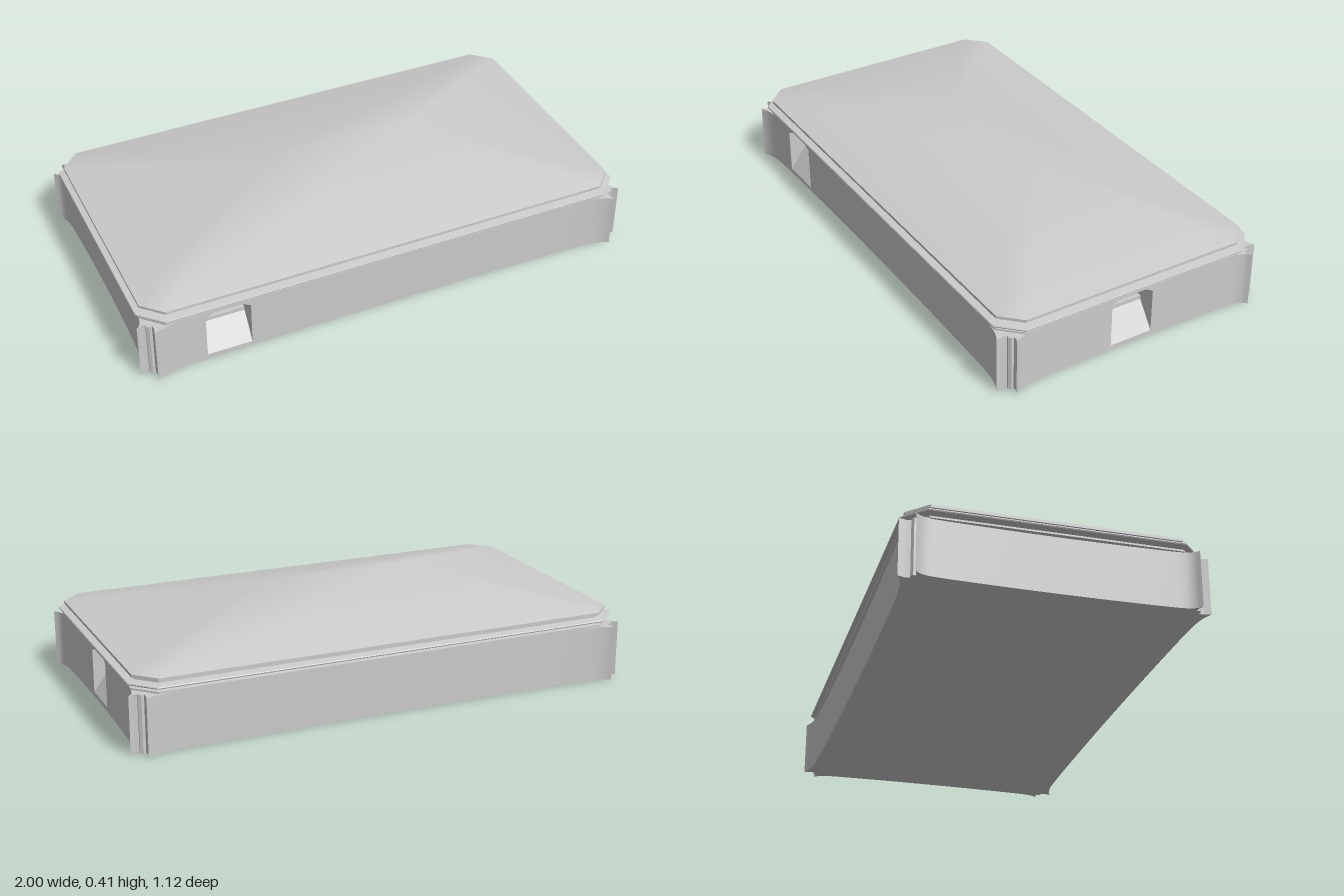
import * as THREE from 'three';
import { toCreasedNormals } from 'three/addons/utils/BufferGeometryUtils.js';

const grey = new THREE.MeshStandardMaterial({ color: 0xcccccc });
const greyDouble = new THREE.MeshStandardMaterial({ color: 0xcccccc, side: THREE.DoubleSide });

const WALL_TOP = 0.22;
const DOOR_HALF = 0.088, DOOR_BOTTOM = 0.018;
const FRONT_DOOR_X = -0.66;
const ARCH = [[-DOOR_HALF, 0.192], [-0.04, 0.218], [0.04, 0.218], [DOOR_HALF, 0.192]];

// Triangles from quads [a, b, c, d], counter-clockwise from the visible side
function quadGeometry(quads, crease) {
  const pos = [];
  for (const [a, b, c, d] of quads) pos.push(...a, ...b, ...c, ...a, ...c, ...d);
  const g = new THREE.BufferGeometry();
  g.setAttribute('position', new THREE.Float32BufferAttribute(pos, 3));
  g.computeVertexNormals();
  return toCreasedNormals(g, crease);
}

function add(parent, name, geometry, material = grey) {
  const mesh = new THREE.Mesh(geometry, material);
  mesh.name = name;
  parent.add(mesh);
  return mesh;
}

// Nearly flat wall whose ends flare outwards
const flare = (s, half, mid, tip) => {
  const t = Math.abs(s / half);
  return mid + (tip - mid) * (0.3 * t * t + 0.7 * t ** 22);
};
const frontZ = (x) => flare(x, 0.95, 0.522, 0.56);
const sideX = (z) => flare(z, 0.51, 0.962, 1);

// Sample positions along one wall, including the breaks of its door
function samples(half, doorCentre) {
  const list = [];
  for (let i = 0; i <= 48; i++) list.push(half * Math.sin((i / 24 - 1) * Math.PI / 2));
  if (doorCentre === null) return list;
  const kept = list.filter((s) => ARCH.every(([u]) => Math.abs(s - doorCentre - u) > 0.003));
  for (const [u] of ARCH) kept.push(doorCentre + u);
  return kept.sort((a, b) => a - b);
}

function archHeight(u) {
  for (let i = 0; i < 3; i++) {
    const [a, ya] = ARCH[i], [b, yb] = ARCH[i + 1];
    if (u <= b + 1e-6) return ya + (yb - ya) * (u - a) / (b - a);
  }
  return ARCH[3][1];
}

// Plan outline of the base, running front, right, back, left
function baseOutline() {
  const notch = [[0.943, 0.533], [0.945, 0.515], [0.956, 0.518], [0.966, 0.51], [0.965, 0.5], [0.98, 0.499]];
  const corner = (sx, sz, flip) => {
    const pts = notch.map(([x, z]) => ({ x: x * sx, z: z * sz }));
    return flip ? pts.reverse() : pts;
  };
  const front = samples(0.95, FRONT_DOOR_X).map((x) => ({ x, z: frontZ(x), u: x - FRONT_DOOR_X }));
  const right = samples(0.51, 0).map((s) => ({ x: sideX(s), z: -s, u: s }));
  const back = samples(0.95, null).map((s) => ({ x: -s, z: -frontZ(s) }));
  const left = samples(0.51, null).map((s) => ({ x: -sideX(s), z: s }));
  return [...front, ...corner(1, 1, false), ...right, ...corner(1, -1, true),
    ...back, ...corner(-1, -1, false), ...left, ...corner(-1, 1, true)];
}

function buildBase(group) {
  const outline = baseOutline();
  const quads = [];
  const strip = (a, b, a0, b0, a1, b1) =>
    quads.push([[a.x, a0, a.z], [b.x, b0, b.z], [b.x, b1, b.z], [a.x, a1, a.z]]);
  outline.forEach((a, i) => {
    const b = outline[(i + 1) % outline.length];
    const inDoor = a.u !== undefined && b.u !== undefined && Math.abs((a.u + b.u) / 2) < DOOR_HALF;
    if (inDoor) {
      strip(a, b, 0, 0, DOOR_BOTTOM, DOOR_BOTTOM);
      strip(a, b, archHeight(a.u), archHeight(b.u), WALL_TOP, WALL_TOP);
    } else strip(a, b, 0, 0, WALL_TOP, WALL_TOP);
  });
  add(group, 'walls', quadGeometry(quads, 0.35));

  // Flat caps closing the base above and below
  const cap = (sign) => new THREE.ShapeGeometry(
    new THREE.Shape(outline.map((p) => new THREE.Vector2(p.x, sign * p.z))));
  add(group, 'wallTop', cap(-1).rotateX(-Math.PI / 2).translate(0, WALL_TOP, 0));
  add(group, 'floor', cap(1).rotateX(Math.PI / 2));
}

// Recessed doorway with a ramp, a small step and a sloping ceiling; z points outwards
function buildDoor(name) {
  const door = new THREE.Group();
  door.name = name;
  const w = DOOR_HALF, back = -0.085;
  const profile = [[0, DOOR_BOTTOM], [-0.07, 0.115], [-0.07, 0.13], [back, 0.13], [back, 0.16]];
  const quads = [];
  for (let i = 0; i < profile.length - 1; i++) {
    const [z0, y0] = profile[i], [z1, y1] = profile[i + 1];
    quads.push([[-w, y0, z0], [w, y0, z0], [w, y1, z1], [-w, y1, z1]]);
  }
  for (let i = 0; i < 3; i++) {
    const [u0, y0] = ARCH[i], [u1, y1] = ARCH[i + 1];
    quads.push([[u0, 0.16, back], [u1, 0.16, back], [u1, y1, 0], [u0, y0, 0]]);
  }
  add(door, 'doorRecess', quadGeometry(quads, 0.1), greyDouble);

  // Side reveals
  const reveal = new THREE.Shape([...profile, [0, ARCH[0][1]]].map(([z, y]) => new THREE.Vector2(z, y)));
  for (const s of [-1, 1]) {
    const g = new THREE.ShapeGeometry(reveal).rotateY(-Math.PI / 2).translate(s * w, 0, 0);
    add(door, 'doorReveal', g, greyDouble);
  }
  return door;
}

// Octagon with cut corners, o outside the eave line, running front, right, back, left
function octagon(o, y) {
  const x = 0.97 + o, z = 0.53 + o, c = 0.075 + o * 0.5;
  return [[-x + c, y, z], [x - c, y, z], [x, y, z - c], [x, y, -z + c],
    [x - c, y, -z], [-x + c, y, -z], [-x, y, -z + c], [-x, y, z - c]];
}

function buildRoof(group) {
  // Cornice: ledge, projecting sharp moulding and eave, as [offset, height]
  const profile = [[-0.04, 0.215], [0.006, 0.222], [0.006, 0.229], [-0.018, 0.231], [-0.018, 0.238],
    [0.018, 0.243], [0.02, 0.247], [0.018, 0.251], [-0.012, 0.256], [-0.012, 0.263], [0, 0.266], [0, 0.277]];
  const rings = profile.map(([o, y]) => octagon(o, y));
  const quads = [];
  for (let r = 0; r < rings.length - 1; r++) {
    for (let i = 0; i < 8; i++) {
      const j = (i + 1) % 8;
      quads.push([rings[r][i], rings[r][j], rings[r + 1][j], rings[r + 1][i]]);
    }
  }
  add(group, 'cornice', quadGeometry(quads, 0.3));

  // Hipped roof with a short ridge, softly shaded across the hips
  const verts = [...octagon(0, 0.277), [0.3, 0.41, 0], [-0.3, 0.41, 0]];
  const R = 8, L = 9;
  const roof = new THREE.BufferGeometry();
  roof.setAttribute('position', new THREE.Float32BufferAttribute(verts.flat(), 3));
  roof.setIndex([0, 1, R, 0, R, L, 1, 2, R, 2, 3, R, 3, 4, R, 4, 5, L, 4, L, R, 5, 6, L, 6, 7, L, 7, 0, L]);
  roof.computeVertexNormals();
  add(group, 'roof', roof);
}

export function createModel() {
  const model = new THREE.Group();
  model.name = 'hallBuilding';
  buildBase(model);

  const frontDoor = buildDoor('frontDoor');
  frontDoor.position.set(FRONT_DOOR_X, 0, frontZ(FRONT_DOOR_X));
  const sideDoor = buildDoor('sideDoor');
  sideDoor.position.set(sideX(0), 0, 0);
  sideDoor.rotation.y = Math.PI / 2;
  model.add(frontDoor, sideDoor);

  buildRoof(model);
  return model;
}
